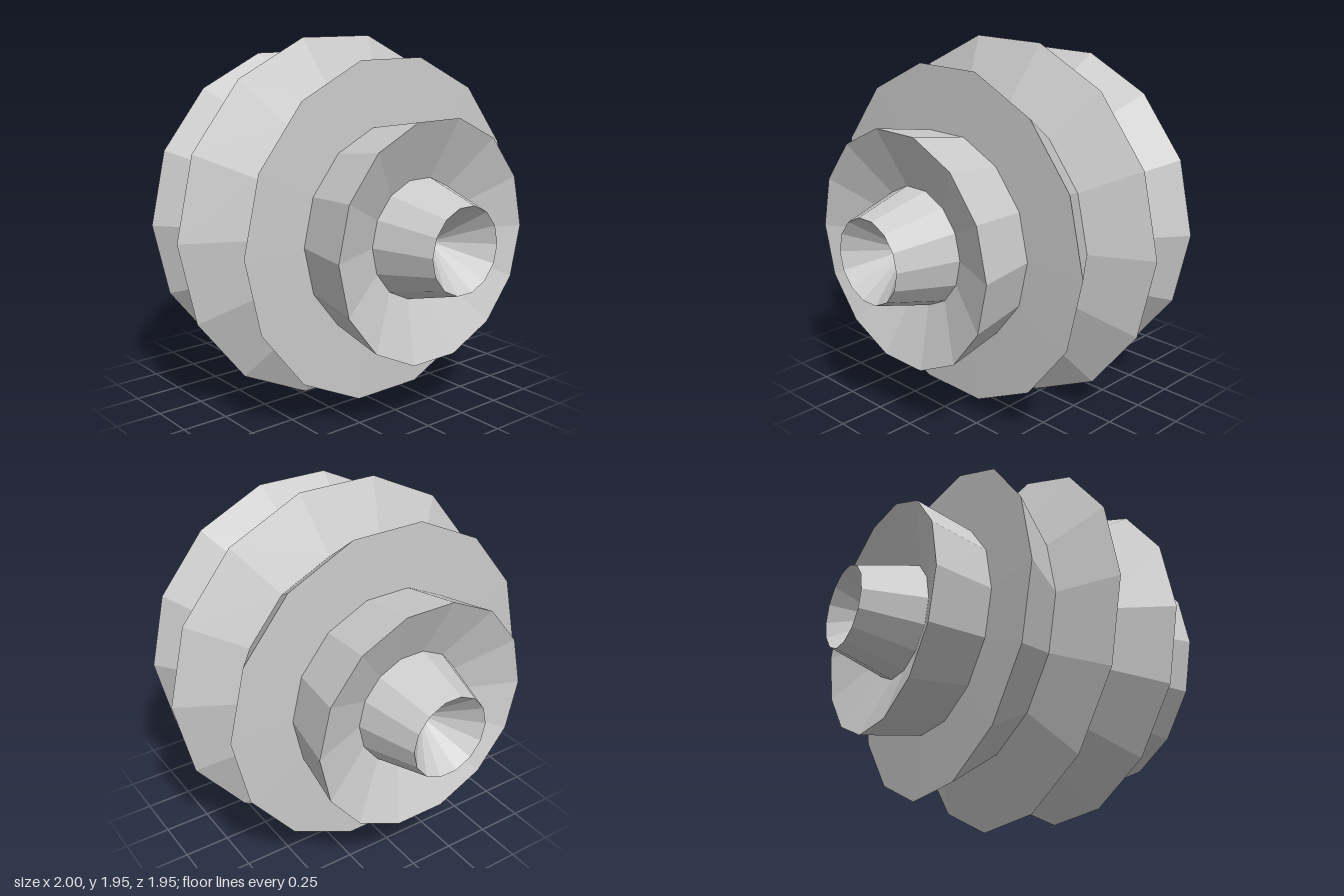
import * as THREE from 'three';

const SIDES = 14;
const CENTRE_Y = 0.975;

// Flat-shaded ring turned about the z axis; profile is [radius, z], back to front
function turned(name, profile, material) {
  const points = profile.map(([r, z]) => new THREE.Vector2(r, z));
  const geometry = new THREE.LatheGeometry(points, SIDES, Math.PI / 2, Math.PI * 2);
  geometry.rotateX(Math.PI / 2);
  const mesh = new THREE.Mesh(geometry, material);
  mesh.name = name;
  return mesh;
}

export function createModel() {
  const material = new THREE.MeshStandardMaterial({ color: 0xcccccc, flatShading: true });
  const model = new THREE.Group();
  model.name = 'ribbedSpool';

  // Sharp ridge around the middle
  const ridge = turned('centreRidge', [[0.695, -0.16], [1, 0], [0.695, 0.16]], material);
  ridge.position.y = CENTRE_Y;
  model.add(ridge);

  // Both ends carry the same parts, one turned half way round
  for (const [name, angle] of [['frontEnd', 0], ['backEnd', Math.PI]]) {
    const end = new THREE.Group();
    end.name = name;
    end.position.y = CENTRE_Y;
    end.rotation.y = angle;
    end.add(
      // Flaring flange with its nearly flat outer face
      turned('flange', [[0.695, 0.16], [0.9, 0.436], [0.56, 0.445]], material),
      // Collar with a hollow dished end
      turned('collar', [[0.56, 0.445], [0.62, 0.78], [0.31, 0.655]], material),
      // Tapered nozzle with a conical socket
      turned('nozzle', [[0.31, 0.655], [0.22, 0.975], [0, 0.73]], material)
    );
    model.add(end);
  }
  return model;
}
